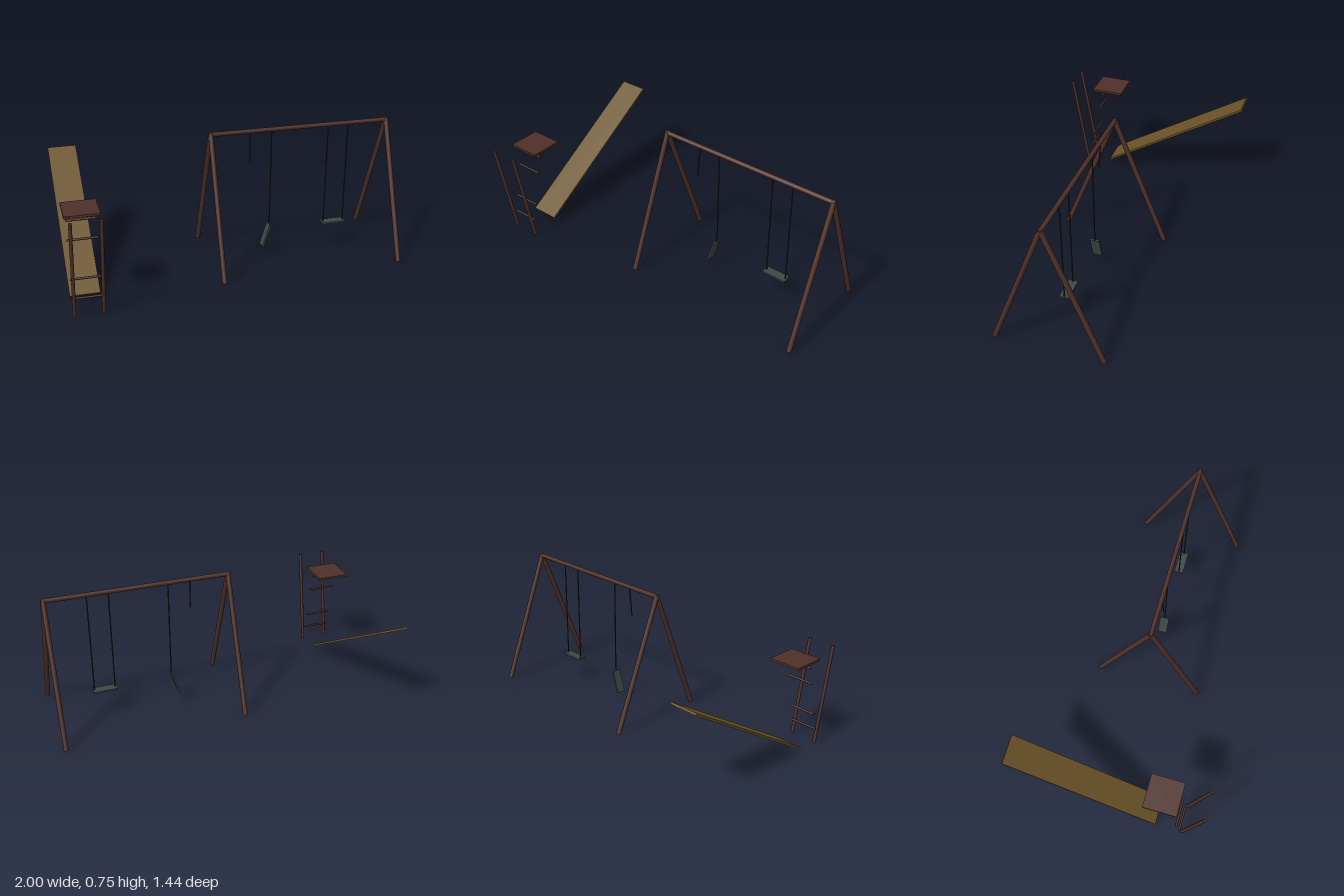
import * as THREE from 'three';

const YAW = THREE.MathUtils.degToRad(-20); // the whole playground is set at an angle

export function createModel() {
  const group = new THREE.Group();
  const mat = (name, color) => {
    const m = new THREE.MeshStandardMaterial({ color });
    m.name = name;
    return m;
  };
  const wood = mat('reddish brown wood', 0x4f3028);
  const slideMat = mat('ochre slide', 0x6a5226);
  const rubber = mat('grey green rubber', 0x3f4744);
  const metal = mat('dark chain metal', 0x212527);

  // Round bar between two points
  function rod(name, a, b, r, material, sides = 12) {
    const p = new THREE.Vector3(...a), q = new THREE.Vector3(...b);
    const d = q.clone().sub(p);
    const mesh = new THREE.Mesh(new THREE.CylinderGeometry(r, r, d.length(), sides), material);
    mesh.name = name;
    mesh.position.copy(p).add(q).multiplyScalar(0.5);
    mesh.quaternion.setFromUnitVectors(new THREE.Vector3(0, 1, 0), d.normalize());
    group.add(mesh);
  }

  // Board turned with the playground, then pitched or rolled
  function board(name, size, pos, material, pitch = 0, roll = 0) {
    const mesh = new THREE.Mesh(new THREE.BoxGeometry(...size), material);
    mesh.name = name;
    mesh.position.set(...pos);
    mesh.rotation.set(pitch, YAW, roll, 'YXZ');
    group.add(mesh);
  }

  // Swing frame: top beam and two A-shaped leg pairs
  const beamY = 0.742;
  const beamZ = (x) => 0.085 + (x + 0.057) * 0.364;
  rod('topBeam', [-0.066, beamY, beamZ(-0.066)], [0.896, beamY, beamZ(0.896)], 0.0125, wood);
  for (const x of [-0.057, 0.886]) {
    for (const s of [-1, 1]) {
      rod('frameLeg', [x, beamY + 0.005, beamZ(x)],
        [x - s * 0.1, 0.005, beamZ(x) + s * 0.275], 0.0135, wood);
    }
  }

  // Intact swing
  for (const x of [0.567, 0.676]) {
    rod('swingChain', [x, beamY, beamZ(x)], [x, 0.155, beamZ(x)], 0.0035, metal, 6);
  }
  board('swingSeat', [0.135, 0.01, 0.052], [0.621, 0.155, beamZ(0.621)], rubber);

  // Broken swing: one snapped chain, seat dangling from the other
  rod('snappedChain', [0.147, beamY, beamZ(0.147)], [0.139, 0.568, 0.172], 0.0035, metal, 6);
  rod('hangingChain', [0.262, beamY, beamZ(0.262)], [0.262, 0.175, beamZ(0.262)], 0.0035, metal, 6);
  board('danglingSeat', [0.135, 0.01, 0.052], [0.242, 0.119, 0.195], rubber,
    0, THREE.MathUtils.degToRad(73));

  // Slide board
  board('slide', [0.159, 0.012, 0.97], [-0.698, 0.287, -0.305], slideMat,
    THREE.MathUtils.degToRad(31.8));

  // Platform
  board('platform', [0.18, 0.013, 0.18], [-0.845, 0.522, 0.096], wood);

  // Ladder rails
  rod('ladderRail', [-0.992, 0.555, 0.287], [-0.96, 0.006, 0.2], 0.009, wood);
  rod('ladderRail', [-0.853, 0.555, 0.337], [-0.821, 0.006, 0.25], 0.009, wood);

  // Loose rungs
  const half = 0.077, c = Math.cos(YAW) * half, s = -Math.sin(YAW) * half;
  for (const [x, y, z] of [
    [-0.858, 0.484, 0.132], [-0.868, 0.388, 0.152],
    [-0.882, 0.193, 0.19], [-0.892, 0.096, 0.21],
  ]) {
    rod('ladderRung', [x - c, y, z - s], [x + c, y, z + s], 0.006, wood);
  }

  return group;
}
